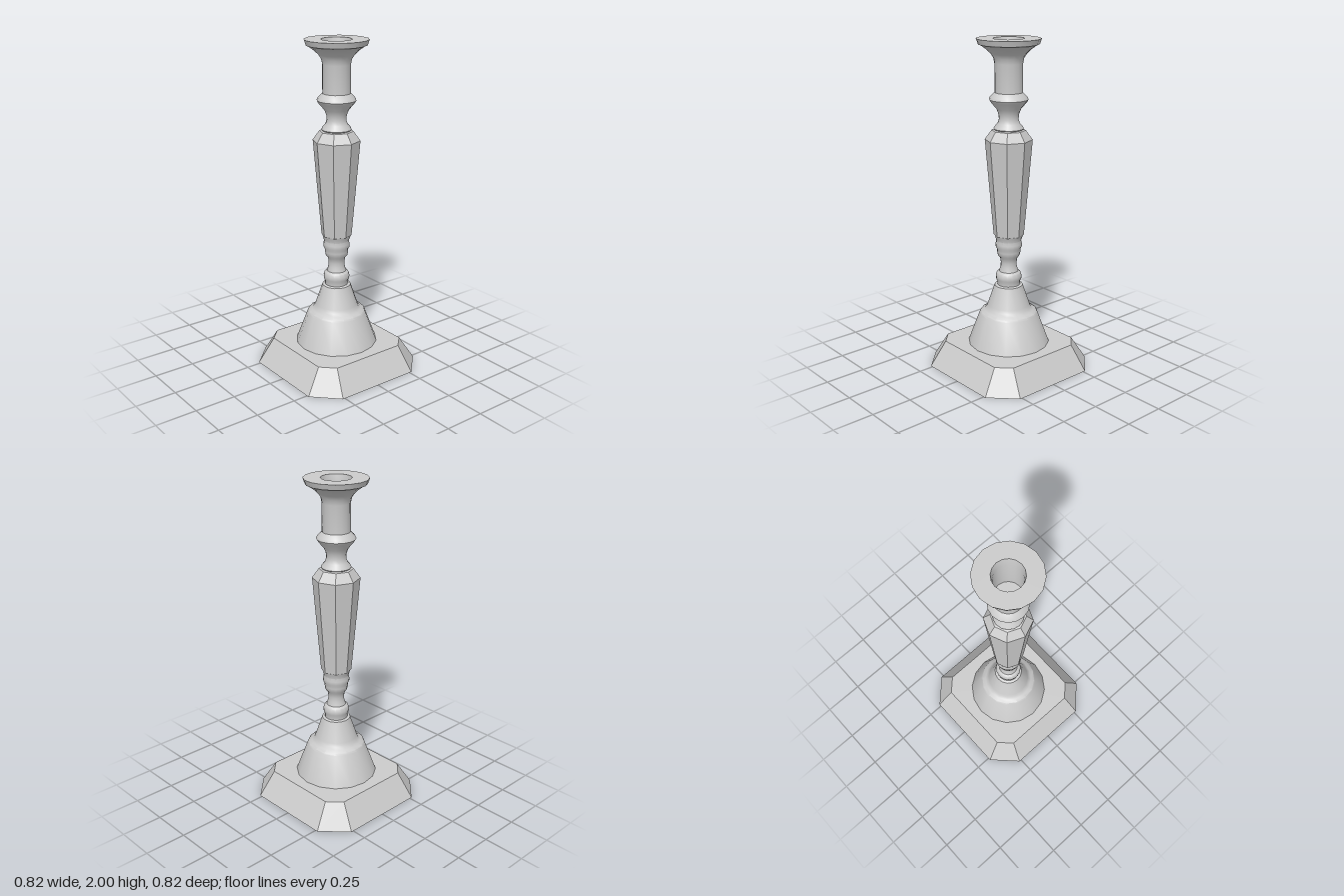
import * as THREE from 'three';
import { toCreasedNormals } from 'three/addons/utils/BufferGeometryUtils.js';

const material = new THREE.MeshStandardMaterial({ color: 0xcccccc });
const flatMaterial = new THREE.MeshStandardMaterial({ color: 0xcccccc, flatShading: true });

// Turned part: profile of [radius, height] pairs, 16 sides, smooth around with crisp steps
function turned(name, profile) {
  const points = profile.map(([r, y]) => new THREE.Vector2(r, y));
  const geometry = toCreasedNormals(new THREE.LatheGeometry(points, 16), 0.65);
  const mesh = new THREE.Mesh(geometry, material);
  mesh.name = name;
  return mesh;
}

// Square foot with cut corners, sloping inwards to a flat top
function makeFoot() {
  const ring = (half, side, y) => [
    [side, half], [half, side], [half, -side], [side, -half],
    [-side, -half], [-half, -side], [-half, side], [-side, half],
  ].map(([x, z]) => [x, y, z]);
  const bottom = ring(0.408, 0.265, 0);
  const top = ring(0.313, 0.235, 0.15);
  const positions = [];
  const tri = (...corners) => corners.forEach((c) => positions.push(...c));
  for (let i = 0; i < 8; i++) {
    const j = (i + 1) % 8;
    tri(bottom[i], bottom[j], top[j]);
    tri(bottom[i], top[j], top[i]);
    tri([0, 0.15, 0], top[i], top[j]);
    tri([0, 0, 0], bottom[j], bottom[i]);
  }
  const geometry = new THREE.BufferGeometry();
  geometry.setAttribute('position', new THREE.Float32BufferAttribute(positions, 3));
  geometry.computeVertexNormals();
  const mesh = new THREE.Mesh(geometry, flatMaterial);
  mesh.name = 'foot';
  return mesh;
}

// Eight-sided tapering shaft with a bevelled shoulder
function makeShaft() {
  const points = [[0.068, 0.815], [0.091, 0.84], [0.14, 1.42], [0.1, 1.475], [0.08, 1.48]]
    .map(([r, y]) => new THREE.Vector2(r, y));
  const mesh = new THREE.Mesh(new THREE.LatheGeometry(points, 8), flatMaterial);
  mesh.name = 'shaft';
  return mesh;
}

export function createModel() {
  const group = new THREE.Group();
  group.name = 'candlestick';
  group.add(
    makeFoot(),
    // Two-stage bell rising from the foot
    turned('pedestal', [
      [0.248, 0.15], [0.178, 0.34], [0.172, 0.35], [0.15, 0.36], [0.136, 0.375],
      [0.128, 0.395], [0.086, 0.52], [0.07, 0.525],
    ]),
    // Bead, narrow neck and cup below the shaft
    turned('lowerKnop', [
      [0.07, 0.52], [0.07, 0.545], [0.077, 0.56], [0.079, 0.58], [0.072, 0.6],
      [0.058, 0.61], [0.049, 0.64], [0.048, 0.665], [0.053, 0.695], [0.066, 0.71],
      [0.071, 0.735], [0.071, 0.75], [0.079, 0.765], [0.079, 0.785], [0.075, 0.805],
      [0.082, 0.825], [0.087, 0.84],
    ]),
    makeShaft(),
    // Waist and bulge above the shaft
    turned('upperKnop', [
      [0.08, 1.475], [0.088, 1.485], [0.084, 1.495], [0.066, 1.515], [0.057, 1.54],
      [0.06, 1.57], [0.072, 1.6], [0.106, 1.64], [0.115, 1.655], [0.108, 1.67],
      [0.082, 1.695],
    ]),
    // Candle cup with flared rim and open bore
    turned('candleCup', [
      [0.082, 1.695], [0.082, 1.86], [0.088, 1.89], [0.104, 1.915], [0.13, 1.94],
      [0.165, 1.965], [0.176, 1.968], [0.187, 2], [0.089, 2],
    ]),
    turned('bore', [[0.089, 2], [0.08, 1.95], [0.078, 1.75], [0, 1.75]]),
  );
  return group;
}
